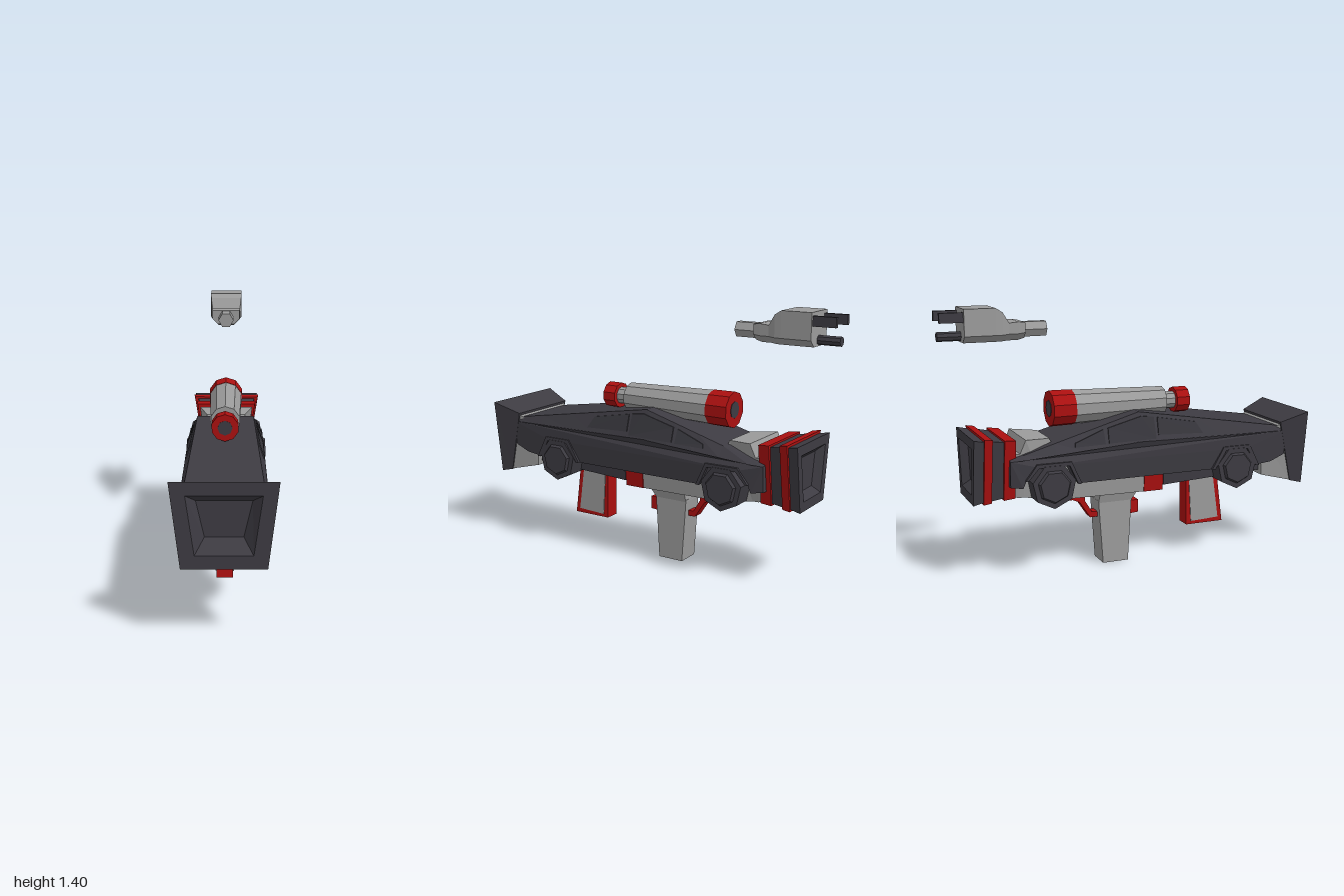
import * as THREE from 'three';

const mat = (name, color) => {
  const m = new THREE.MeshStandardMaterial({ color, flatShading: true, side: THREE.DoubleSide });
  m.name = name;
  return m;
};

export function createModel() {
  const dark = mat('charcoal', 0x3d3b42);
  const glass = mat('dark glass', 0x36353b);
  const grey = mat('grey', 0x9b9b9b);
  const red = mat('red', 0xab1010);
  const root = new THREE.Group();
  root.name = 'carBlaster';

  const add = (name, geo, material, parent = root) => {
    const m = new THREE.Mesh(geo, material);
    m.name = name;
    parent.add(m);
    return m;
  };

  // Joins cross-sections running from +z to -z, each counter-clockwise seen from the front
  const loft = (rings) => {
    const n = rings[0].length, idx = [], last = (rings.length - 1) * n;
    for (let i = 0; i < rings.length - 1; i++) {
      for (let j = 0; j < n; j++) {
        const a = i * n + j, b = i * n + (j + 1) % n;
        idx.push(a, a + n, b, b, a + n, b + n);
      }
    }
    for (let j = 1; j < n - 1; j++) {
      idx.push(0, j, j + 1, last, last + j + 1, last + j);
    }
    const g = new THREE.BufferGeometry();
    g.setAttribute('position', new THREE.Float32BufferAttribute(rings.flat(2), 3));
    g.setIndex(idx);
    const out = g.toNonIndexed();
    out.computeVertexNormals();
    return out;
  };
  // Trapezoid section, optionally leaning in z
  const trap = (z, yt, yb, wt, wb, zb = z) =>
    [[wb, yb, zb], [wt, yt, z], [-wt, yt, z], [-wb, yb, zb]];

  // Side outline in (z, y), extruded across x
  const slab = (pts, half) => {
    const s = new THREE.Shape(pts.map(p => new THREE.Vector2(...p)));
    const g = new THREE.ExtrudeGeometry(s, { depth: half * 2, bevelEnabled: false });
    return g.translate(0, 0, -half).rotateY(-Math.PI / 2);
  };

  // Cylinder along z: r0 at z0 (front), r1 at z1 (rear)
  const tube = (r0, r1, z0, z1, y, sides, open = false) =>
    new THREE.CylinderGeometry(r0, r1, z0 - z1, sides, 1, open).rotateX(Math.PI / 2).translate(0, y, (z0 + z1) / 2);

  // ---- Car body ----
  const car = new THREE.Group();
  car.name = 'carBody';
  root.add(car);

  const lower = slab([
    [0.89, 0.68], [0.885, 0.545], [0.80, 0.51], [0.71, 0.50], [0.65, 0.605], [0.51, 0.605], [0.44, 0.50],
    [-0.335, 0.50], [-0.385, 0.605], [-0.55, 0.605], [-0.61, 0.545], [-0.63, 0.50], [-0.69, 0.505],
    [-0.69, 0.64], [0, 0.69],
  ], 0.205);
  const lp = lower.attributes.position;
  for (let i = 0; i < lp.count; i++) {
    const k = (lp.getZ(i) < -0.64 ? 0.89 : 1) * (lp.getY(i) < 0.56 ? 0.96 : 1);
    lp.setX(i, lp.getX(i) * k);
  }
  lower.computeVertexNormals();
  add('lowerBody', lower, dark, car);

  // Cabin stations: z, top y, top half-width, belt y, belt half-width
  const stations = [
    [0.90, 0.70, 0.19, 0.675, 0.205], [0.02, 0.84, 0.15, 0.69, 0.205],
    [-0.62, 0.664, 0.165, 0.645, 0.20], [-0.69, 0.645, 0.165, 0.64, 0.183],
  ];
  const station = (z) => {
    let i = 0;
    while (i < stations.length - 2 && z < stations[i + 1][0]) i++;
    const a = stations[i], b = stations[i + 1], t = (a[0] - z) / (a[0] - b[0]);
    return a.map((v, k) => v + (b[k] - v) * t);
  };
  const zs = [0.9, 0.7, 0.5, 0.35, 0.18, 0.02, -0.15, -0.3, -0.45, -0.62, -0.69];
  add('cabin', loft(zs.map(z => {
    const [, ty, tw, by, bw] = station(z);
    return trap(z, ty, by, tw, bw);
  })), dark, car);

  // Windows lie on the sloped cabin sides
  const windows = [
    [[0.375, 0.708], [0.115, 0.718], [0.12, 0.806], [0.34, 0.768]],
    [[0.10, 0.70], [-0.165, 0.695], [-0.16, 0.77], [0.03, 0.818], [0.10, 0.81]],
    [[-0.185, 0.693], [-0.35, 0.688], [-0.345, 0.708], [-0.185, 0.765]],
  ];
  for (const s of [1, -1]) {
    windows.forEach((pts, n) => {
      const ring = (off) => pts.map(([z, y]) => {
        const [, ty, tw, by, bw] = station(z);
        return [s * (bw + (tw - bw) * (y - by) / (ty - by) + off), y, z];
      });
      add(`window${n + 1}`, loft(s > 0 ? [ring(0.006), ring(-0.002)] : [ring(-0.002), ring(0.006)]), glass, car);
    });
    // Wheels and angular arches
    for (const z of [0.58, -0.47]) {
      const wheel = new THREE.Group();
      wheel.name = 'wheel';
      wheel.position.set(0, 0.5, z);
      root.add(wheel);
      const disc = (name, rOut, rIn, x0, x1) => {
        const m = add(name, new THREE.CylinderGeometry(rOut, rIn, x1 - x0, 7, 1, false, s * Math.PI / 2), dark, wheel);
        m.rotation.z = -s * Math.PI / 2;
        m.position.x = s * (x0 + x1) / 2;
      };
      disc('tyre', 0.118, 0.118, 0.1, 0.215);
      disc('hub', 0.08, 0.09, 0.215, 0.23);
    }
    const arch = slab([
      [0.72, 0.50], [0.66, 0.62], [0.50, 0.62], [0.43, 0.50], [0.45, 0.50], [0.515, 0.60], [0.645, 0.60], [0.70, 0.50],
    ], 0.012);
    add('frontArch', arch.clone().translate(s * 0.2, 0, 0), dark, car);
    const rearArch = slab([
      [-0.32, 0.50], [-0.375, 0.62], [-0.56, 0.62], [-0.62, 0.54], [-0.605, 0.54], [-0.55, 0.60], [-0.385, 0.60], [-0.34, 0.50],
    ], 0.012);
    add('rearArch', rearArch.translate(s * 0.2, 0, 0), dark, car);
  }
  add('frontLightBar', new THREE.BoxGeometry(0.414, 0.03, 0.02).translate(0, 0.685, 0.885), red, car);

  // ---- Front muzzle with a sunken mouth ----
  add('muzzle', loft([
    trap(0.93, 0.675, 0.50, 0.13, 0.09), trap(1, 0.72, 0.435, 0.175, 0.135),
    trap(1, 0.785, 0.37, 0.25, 0.20), trap(0.85, 0.73, 0.385, 0.21, 0.187, 0.935),
  ]), dark);
  add('muzzleCollar', loft([
    trap(0.86, 0.72, 0.387, 0.20, 0.182, 0.935), trap(0.75, 0.66, 0.425, 0.165, 0.15, 0.77),
  ]), grey);

  // ---- Inner frame under and behind the car ----
  add('frontFrame', loft([trap(0.8, 0.62, 0.45, 0.13, 0.12), trap(0.18, 0.62, 0.42, 0.13, 0.12)]), dark);
  add('frameBand', loft([trap(0.18, 0.6, 0.39, 0.13, 0.11), trap(0.07, 0.6, 0.39, 0.13, 0.11)]), red);
  add('frame', loft([
    trap(0.07, 0.6, 0.39, 0.125, 0.105), trap(-0.42, 0.62, 0.395, 0.125, 0.105), trap(-0.46, 0.73, 0.40, 0.11, 0.105),
    trap(-0.60, 0.74, 0.43, 0.155, 0.11), trap(-0.63, 0.67, 0.43, 0.15, 0.11), trap(-0.67, 0.67, 0.44, 0.15, 0.11),
  ]), grey);

  // ---- Rear stock: alternating red and dark bands ----
  add('stockBandFront', loft([trap(-0.655, 0.745, 0.435, 0.172, 0.13), trap(-0.715, 0.75, 0.43, 0.178, 0.132)]), red);
  add('stockMiddle', loft([trap(-0.715, 0.74, 0.44, 0.16, 0.122), trap(-0.785, 0.752, 0.432, 0.172, 0.128)]), dark);
  add('stockBandRear', loft([trap(-0.78, 0.762, 0.425, 0.192, 0.14), trap(-0.822, 0.768, 0.42, 0.197, 0.142)]), red);
  add('stockEnd', loft([
    trap(-0.822, 0.755, 0.43, 0.18, 0.132), trap(-0.875, 0.765, 0.42, 0.19, 0.138),
    trap(-0.875, 0.715, 0.47, 0.14, 0.10), trap(-0.835, 0.68, 0.505, 0.105, 0.075),
  ]), dark);

  // ---- Grips and trigger ----
  add('grip', slab([[0.015, 0.34], [-0.005, 0], [-0.15, 0], [-0.175, 0.35]], 0.065), grey);
  add('gripTop', loft([
    [[0.08, 0.40, 0.05], [0.08, 0.40, -0.17], [-0.08, 0.40, -0.17], [-0.08, 0.40, 0.05]],
    [[0.065, 0.34, 0.015], [0.065, 0.34, -0.175], [-0.065, 0.34, -0.175], [-0.065, 0.34, 0.015]],
  ]), grey);
  add('trigger', slab([[0.07, 0.325], [0.07, 0.255], [0, 0.25], [0, 0.325]], 0.03), red);
  add('triggerGuard', slab([
    [-0.15, 0.255], [-0.21, 0.255], [-0.27, 0.345], [-0.31, 0.362], [-0.44, 0.365], [-0.46, 0.40],
    [-0.24, 0.40], [-0.24, 0.35], [-0.20, 0.285], [-0.15, 0.285],
  ], 0.03), red);
  add('foregrip', slab([[0.545, 0.44], [0.583, 0.15], [0.36, 0.15], [0.355, 0.44]], 0.042), red);
  add('foregripPanels', slab([[0.518, 0.44], [0.555, 0.175], [0.387, 0.168], [0.37, 0.44]], 0.046), grey);

  // ---- Scope ----
  const scope = new THREE.Group();
  scope.name = 'scope';
  root.add(scope);
  const sy = 0.863;
  add('scopeTube', tube(0.078, 0.092, 0.22, -0.30, sy, 10), grey, scope);
  add('scopeNeck', tube(0.047, 0.047, 0.29, 0.21, sy, 10), grey, scope);
  add('scopeFrontCap', tube(0.07, 0.07, 0.36, 0.285, sy, 10), red, scope);
  add('scopeRearCap', tube(0.094, 0.096, -0.30, -0.425, sy, 10), red, scope);
  add('scopeFrontLens', tube(0.038, 0.038, 0.363, 0.355, sy, 8), dark, scope);
  add('scopeRearLens', tube(0.045, 0.045, -0.42, -0.428, sy, 8), dark, scope);

  // ---- Floating power plug ----
  const plug = new THREE.Group();
  plug.name = 'plug';
  root.add(plug);
  const section = (z, yt, yb, w, c) =>
    [[w, yb + c, z], [w, yt, z], [-w, yt, z], [-w, yb + c, z], [-w + c, yb, z], [w - c, yb, z]];
  add('plugBody', loft([
    section(-0.565, 1.325, 1.245, 0.078, 0.03), section(-0.60, 1.33, 1.235, 0.08, 0.035),
    section(-0.65, 1.325, 1.235, 0.08, 0.035), section(-0.685, 1.38, 1.232, 0.088, 0.035),
    section(-0.72, 1.402, 1.232, 0.09, 0.035), section(-0.88, 1.402, 1.232, 0.09, 0.035),
  ]), grey, plug);
  const cord = tube(0.043, 0.043, -0.44, -0.57, 0, 6).rotateZ(Math.PI / 6).translate(0, 1.285, 0);
  add('cordStub', cord, grey, plug);
  for (const s of [1, -1]) {
    add('prong', new THREE.BoxGeometry(0.02, 0.05, 0.13).translate(s * 0.068, 1.36, -0.935), dark, plug);
  }
  add('groundPin', tube(0.024, 0.024, -0.87, -1, 1.262, 8), dark, plug);

  return root;
}
